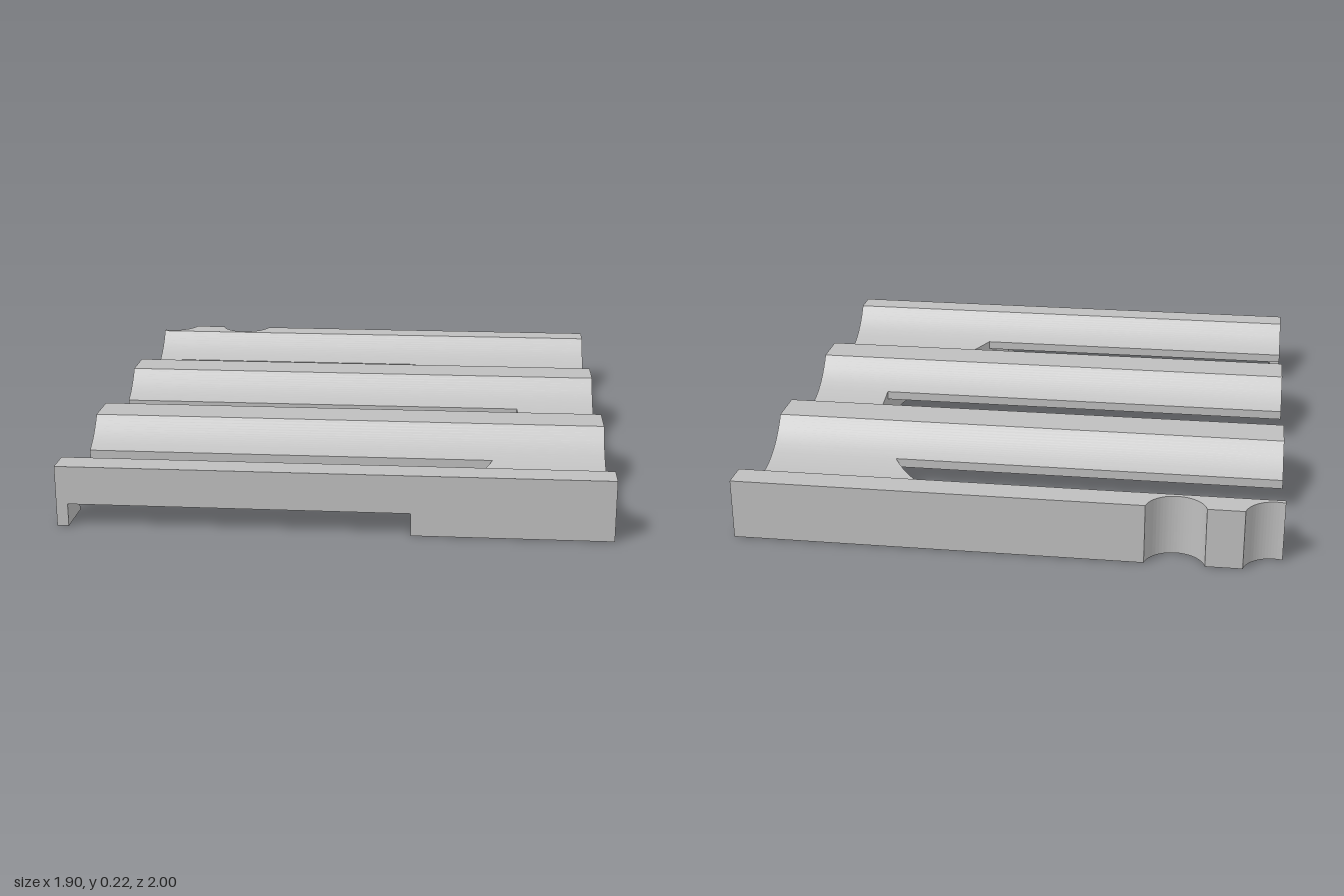
import * as THREE from 'three';
import { toCreasedNormals } from 'three/addons/utils/BufferGeometryUtils.js';

const W = 0.95, TOP = 0.215, CEIL = 0.08;          // half width, full height, pocket ceiling
const CX = -0.323, CZ = 0.053, R = 0.984;          // round pocket, cut from below
const GROOVES = [-0.65, 0, 0.65];
const GR = 0.305, GHALF = 0.25, SHALF = 0.128;     // groove radius, half width, slot half width
const CUT_L = -0.91, CUT_R = 0.265;                // opening in the front wall

const zAt = x => Math.sqrt(R * R - (x - CX) ** 2);
const xAt = z => Math.sqrt(R * R - (z - CZ) ** 2);
const angleAt = (x, side) => Math.atan2(side * zAt(x), x - CX);

// Height of the upper surface at depth z
function topY(z) {
  for (const c of GROOVES) {
    const d = Math.abs(z - c);
    if (d < GHALF) return Math.min(TOP, 0.085 + GR - Math.sqrt(GR * GR - d * d));
  }
  return TOP;
}

export function createModel() {
  const group = new THREE.Group();
  const grey = new THREE.MeshStandardMaterial({ color: 0xbfbfbf });
  grey.name = 'plain grey';

  function add(name, geometry) {
    const mesh = new THREE.Mesh(toCreasedNormals(geometry, 0.5), grey);
    mesh.name = name;
    group.add(mesh);
  }

  // Extrude an outline drawn in x and z between two heights
  function plan(name, shape, y0, y1) {
    const g = new THREE.ExtrudeGeometry(shape, { depth: y1 - y0, bevelEnabled: false, curveSegments: 64 });
    g.rotateX(Math.PI / 2).translate(0, y1, 0);
    add(name, g);
  }

  // Strip of the upper layer that follows the grooves, with ends given as functions of z
  function strip(name, z0, z1, left = () => -W, right = () => W) {
    const g = new THREE.BoxGeometry(1, 1, 1, 1, 1, 16);
    const p = g.attributes.position;
    for (let i = 0; i < p.count; i++) {
      const z = z0 + (p.getZ(i) + 0.5) * (z1 - z0);
      p.setXYZ(i, p.getX(i) < 0 ? left(z) : right(z), p.getY(i) < 0 ? CEIL : topY(z), z);
    }
    add(name, g);
  }

  // Two round notches along the back edge, running from left to right
  function notches(shape) {
    const r = 0.105, z = -1.02, a = Math.asin(0.02 / r), x1 = -0.92, x2 = -0.587;
    const start = Math.acos((-W - x1) / r);
    shape.lineTo(-W, z + r * Math.sin(start));
    shape.absarc(x1, z, r, start, a, true);
    shape.absarc(x2, z, r, Math.PI - a, a, true);
    shape.lineTo(W, -1);
  }

  // Lower layer around the pocket
  const base = new THREE.Shape();
  base.moveTo(W, 1);
  base.lineTo(CUT_R, 1);
  base.absarc(CX, CZ, R, angleAt(CUT_R, 1), angleAt(-W, -1), true);
  notches(base);
  base.closePath();
  plan('base', base, 0, CEIL);

  // Small foot left at the front corner
  const foot = new THREE.Shape();
  foot.moveTo(-W, 1);
  foot.lineTo(CUT_L, 1);
  foot.absarc(CX, CZ, R, angleAt(CUT_L, 1), angleAt(-W, 1), false);
  foot.closePath();
  plan('cornerFoot', foot, 0, CEIL);

  // Flat rear rail with the notches
  const rail = new THREE.Shape();
  rail.moveTo(W, -0.9);
  rail.lineTo(-W, -0.9);
  notches(rail);
  rail.closePath();
  plan('rearRail', rail, CEIL, TOP);

  // Flat ridges between and in front of the grooves
  strip('rearRidge', -0.4, -0.25);
  strip('frontRidge', 0.25, 0.4);
  strip('frontRail', 0.9, 1);

  // Groove flanks, and the groove floors that stop at the round slot ends
  for (const c of GROOVES) {
    strip('grooveFlank', c - GHALF, c - SHALF);
    strip('grooveFlank', c + SHALF, c + GHALF);
    strip('grooveFloor', c - SHALF, c + SHALF, z => CX + xAt(z));
  }

  // Leftover floor corner at the end of the rear slot
  strip('slotCorner', GROOVES[0] - SHALF, CZ - zAt(-W), undefined, z => CX - xAt(z));

  return group;
}
